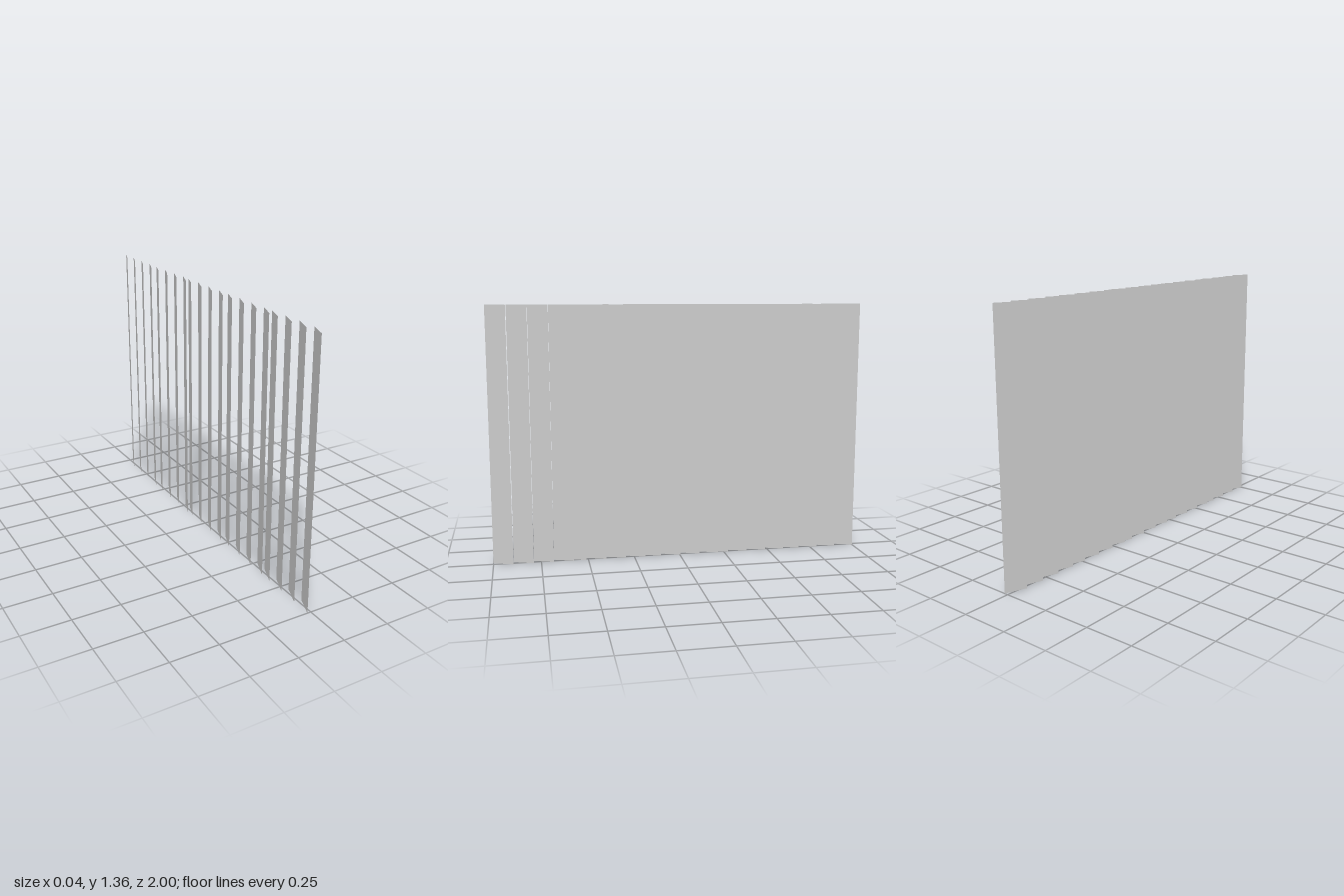
import * as THREE from 'three';

const HEIGHT = 1.36;
const DEPTH_X = 0.04;   // extent of one slat across x
const DEPTH_Z = 0.104;  // extent of one slat along z
const PITCH = 0.1065;   // spacing inside a panel
const PANEL_ENDS = [0.897, 0.51, 0.104, -0.272, -0.68]; // rear edge of each panel's first slat
const SLATS_PER_PANEL = 4;

export function createModel() {
  const model = new THREE.Group();
  model.name = 'verticalBlind';

  const material = new THREE.MeshStandardMaterial({ color: 0xcccccc, side: THREE.DoubleSide });

  // One thin upright slat, turned so its rear edge lies towards +x
  const slatGeometry = new THREE.PlaneGeometry(Math.hypot(DEPTH_X, DEPTH_Z), HEIGHT);
  slatGeometry.rotateY(Math.atan2(DEPTH_Z, DEPTH_X));
  slatGeometry.translate(0, HEIGHT / 2, DEPTH_Z / 2);

  // Five panels of four slats, overlapping where panels meet
  PANEL_ENDS.forEach((end, p) => {
    const panel = new THREE.Group();
    panel.name = `slatPanel${p + 1}`;
    for (let i = 0; i < SLATS_PER_PANEL; i++) {
      const slat = new THREE.Mesh(slatGeometry, material);
      slat.name = `slat${p * SLATS_PER_PANEL + i + 1}`;
      slat.position.z = end - i * PITCH;
      panel.add(slat);
    }
    model.add(panel);
  });

  return model;
}
